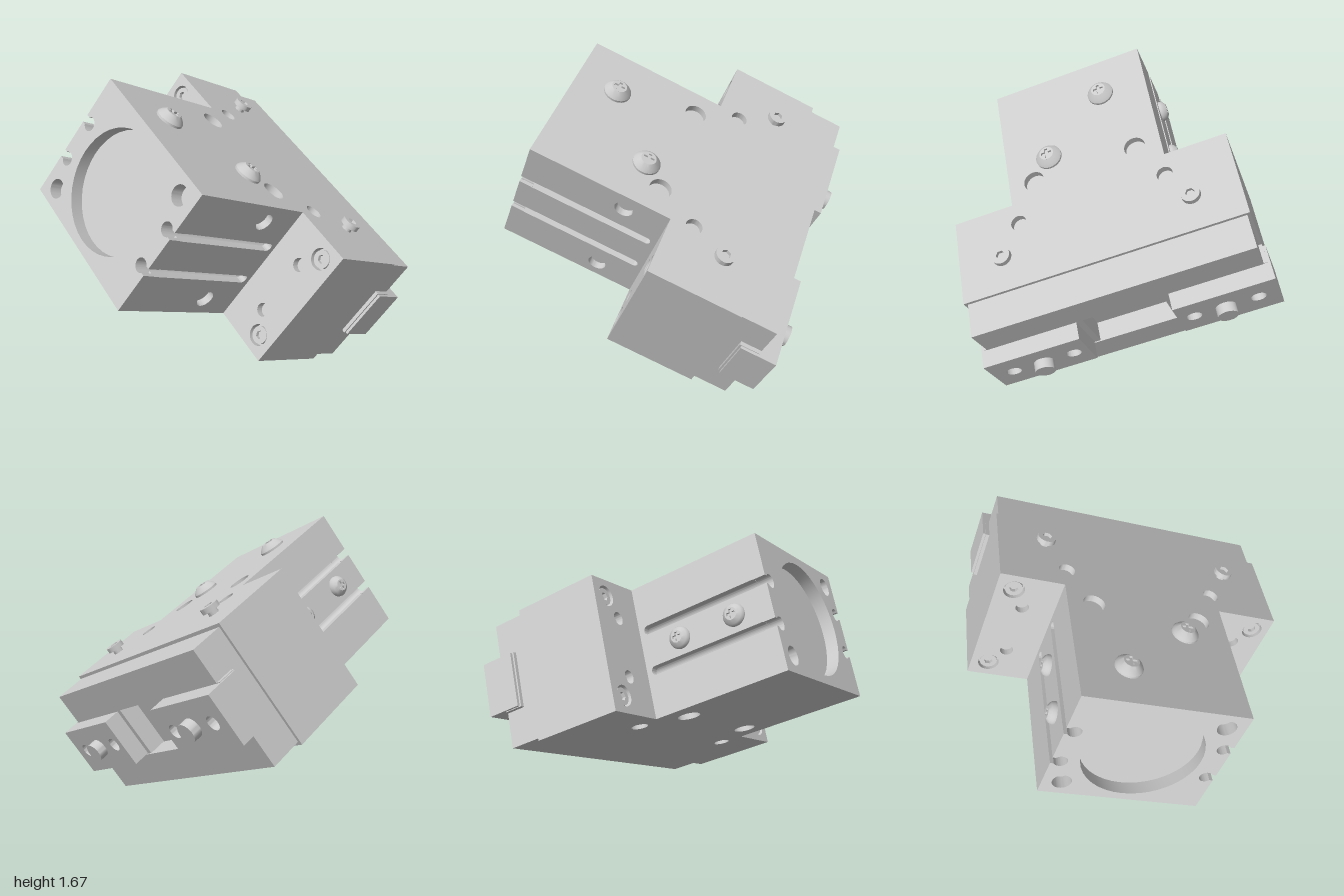
import * as THREE from 'three';
import { toCreasedNormals } from 'three/addons/utils/BufferGeometryUtils.js';

const material = new THREE.MeshStandardMaterial({ color: 0xcccccc });
const W = 0.449, H = 0.369, SKIN = 0.04;            // body half width, half height, wall
const BACK = 1.281, CAP = 1.211, STEP = 0.5, FRONT = -0.01; // stations along the axis
const WING = 0.797;                                  // half width of the cross block
const SLOT_Y = 0.115, SLOT_R = 0.037;

const mesh = (name, geometry, parent) => {
  const m = new THREE.Mesh(toCreasedNormals(geometry, 0.6), material);
  m.name = name;
  parent.add(m);
  return m;
};

const polygon = (pts) => new THREE.Shape(pts.map(([x, y]) => new THREE.Vector2(x, y)));
const rectangle = (x0, x1, y0, y1) => polygon([[x0, y0], [x1, y0], [x1, y1], [x0, y1]]);
const circle = (x, y, r) => new THREE.Shape().absarc(x, y, r, 0, Math.PI * 2, false);

// Extrude along z, after cutting round holes given as [x, y, r]
const extrude = (shape, depth, holes = []) => {
  holes.forEach(([x, y, r]) => shape.holes.push(circle(x, y, r)));
  return new THREE.ExtrudeGeometry(shape, { depth, bevelEnabled: false, curveSegments: 20 });
};

const box = (name, x0, x1, y0, y1, z0, z1, parent) =>
  mesh(name, new THREE.BoxGeometry(x1 - x0, y1 - y0, z1 - z0)
    .translate((x0 + x1) / 2, (y0 + y1) / 2, (z0 + z1) / 2), parent);

// Body section with two round sensor grooves in each flank
function section(w, h, a) {
  const s = new THREE.Shape(), cx = 0.4, d = SLOT_R * Math.sin(a);
  s.moveTo(-w, -h);
  s.lineTo(w, -h);
  for (const y of [-SLOT_Y, SLOT_Y]) {
    s.lineTo(w, y - d);
    s.absarc(cx, y, SLOT_R, -a, a, true);
    s.lineTo(w, y + d);
  }
  s.lineTo(w, h);
  s.lineTo(-w, h);
  for (const y of [SLOT_Y, -SLOT_Y]) {
    s.lineTo(-w, y + d);
    s.absarc(-cx, y, SLOT_R, Math.PI - a, Math.PI + a, true);
    s.lineTo(-w, y - d);
  }
  return s;
}

// Flank plate outline (z, y) with two round-ended slots open at the cap
function flank() {
  const s = new THREE.Shape(), h = H - SKIN, r = 0.024;
  s.moveTo(STEP, -h);
  s.lineTo(CAP, -h);
  for (const y of [-SLOT_Y, SLOT_Y]) {
    s.lineTo(CAP, y - r);
    s.absarc(0.555, y, r, -Math.PI / 2, Math.PI / 2, true);
    s.lineTo(CAP, y + r);
  }
  s.lineTo(CAP, h);
  s.lineTo(STEP, h);
  return s;
}

// Domed cross-head screw pointing along +z
function panScrew(r) {
  const g = new THREE.Group(), t = r * 0.48, k = r * 0.12, e = r * 0.4;
  g.name = 'panHeadScrew';
  const profile = [[0, 0], [r, 0], [r, 0.012], [r * 0.87, 0.026], [r * 0.55, t + 0.012], [r * 0.55, t], [0, t]];
  mesh('screwDome', new THREE.LatheGeometry(profile.map(p => new THREE.Vector2(...p)), 28).rotateX(Math.PI / 2), g);
  const face = circle(0, 0, r * 0.55);
  face.holes.push(polygon([[k, k], [k, e], [-k, e], [-k, k], [-e, k], [-e, -k],
    [-k, -k], [-k, -e], [k, -e], [k, -k], [e, -k], [e, k]]));
  mesh('crossRecess', extrude(face, 0.012).translate(0, 0, t), g);
  return g;
}

// Hex socket head pointing along +z
function socketScrew(r, neck) {
  const g = new THREE.Group();
  g.name = 'socketScrew';
  if (neck) mesh('screwNeck', extrude(circle(0, 0, r * 0.55), neck), g);
  mesh('screwHead', extrude(circle(0, 0, r), 0.01).translate(0, 0, neck), g);
  const face = circle(0, 0, r);
  face.holes.push(polygon([0, 1, 2, 3, 4, 5].map(i =>
    [Math.cos(i * Math.PI / 3) * r * 0.5, Math.sin(i * Math.PI / 3) * r * 0.5])));
  mesh('hexRecess', extrude(face, 0.02).translate(0, 0, neck + 0.01), g);
  return g;
}

const place = (object, parent, x, y, z, rx = 0, ry = 0) => {
  object.position.set(x, y, z);
  object.rotation.set(rx, ry, 0);
  parent.add(object);
};

export function createModel() {
  const model = new THREE.Group();
  model.name = 'parallelGripper';
  const g = new THREE.Group();
  g.name = 'gripperBody';
  model.add(g);

  // Cylinder body and cap
  mesh('bodyCore', extrude(section(W - SKIN, H - SKIN, 1.325), CAP - STEP).translate(0, 0, STEP), g);
  mesh('endCap', extrude(section(W, H, 0.637), BACK - CAP,
    [[0, 0, 0.32], [0.345, 0.275, 0.052], [-0.345, -0.275, 0.052]]).translate(0, 0, CAP), g);
  mesh('rightFlank', extrude(flank(), SKIN).rotateY(-Math.PI / 2).translate(SKIN - W, 0, 0), g);
  mesh('leftFlank', extrude(flank(), SKIN, [[0.733, 0.27, 0.05], [0.733, -0.27, 0.05]])
    .rotateY(-Math.PI / 2).translate(W, 0, 0), g);

  // Cross block and the T-shaped top and bottom walls with mounting holes
  box('blockCore', -WING, WING, SKIN - H, H - SKIN, FRONT, STEP - SKIN, g);
  box('blockCoreMiddle', -W, W, SKIN - H, H - SKIN, STEP - SKIN, STEP, g);
  const k = STEP - SKIN;
  for (const [name, y] of [['topWall', H], ['bottomWall', SKIN - H]]) {
    const tee = polygon([[-WING, FRONT], [WING, FRONT], [WING, k], [W, k], [W, CAP], [-W, CAP], [-W, k], [-WING, k]]);
    const holes = [-1, 1].flatMap(s => [[s * 0.3, 0.61, 0.06], [s * 0.425, 0.375, 0.045]]);
    mesh(name, extrude(tee, SKIN, holes).rotateX(Math.PI / 2).translate(0, y, 0), g);
  }

  // Rear shoulders with sunk screws
  for (const s of [-1, 1]) {
    const x0 = s > 0 ? W : -WING, x1 = s > 0 ? WING : -W;
    const holes = [-1, 1].flatMap(v => [[s * 0.7, v * 0.275, 0.057], [s * 0.625, v * 0.163, 0.036]]);
    mesh('shoulderPlate', extrude(rectangle(x0, x1, -H, H), SKIN, holes).translate(0, 0, k), g);
    for (const v of [-1, 1]) place(socketScrew(0.047, 0), g, s * 0.7, v * 0.275, k);
    // Raised socket screws on top
    place(socketScrew(0.052, 0.025), g, s * 0.535, H, 0.18, -Math.PI / 2);
  }

  // Domed screws on top and on the right flank
  place(panScrew(0.075), g, -0.178, H, 1.047, -Math.PI / 2);
  place(panScrew(0.075), g, 0.19, H, 0.733, -Math.PI / 2);
  for (const z of [0.74, 1.07]) place(panScrew(0.06), g, -W, 0, z, 0, -Math.PI / 2);

  // Jaw guide: channel section swept across the width
  const guide = polygon([[FRONT, -0.35], [FRONT, 0.35], [-0.205, 0.35], [-0.205, 0.156],
    [-0.09, 0.156], [-0.09, -0.156], [-0.205, -0.156], [-0.205, -0.35]]);
  mesh('jawGuide', extrude(guide, 1.56).rotateY(-Math.PI / 2).translate(0.78, 0, 0), g);

  // Two sliding jaws, each with a locating pin and two holes
  for (const s of [-1, 1]) {
    const jaw = new THREE.Group();
    jaw.name = s > 0 ? 'leftJaw' : 'rightJaw';
    g.add(jaw);
    const span = (a, b) => s > 0 ? [a, b] : [-b, -a];
    box('jawBase', ...span(0.225, 0.8), -0.154, 0.154, -0.2, -0.09, jaw);
    box('jawBlock', ...span(0.26, 0.815), -0.15, 0.15, -0.25, -0.1, jaw);
    mesh('jawFace', extrude(rectangle(...span(0.26, 0.815), -0.15, 0.15), 0.05,
      [[s * 0.345, 0, 0.042], [s * 0.7, 0, 0.042]]).translate(0, 0, -0.3), jaw);
    mesh('jawPin', extrude(circle(s * 0.52, 0, 0.057), 0.06).translate(0, 0, -0.355), jaw);
  }

  // Tilted resting pose
  const rad = THREE.MathUtils.degToRad;
  g.rotation.set(0, rad(-51.2), rad(-33.8), 'ZYX');
  g.position.set(0.268, 0.652, -0.174);
  return model;
}
